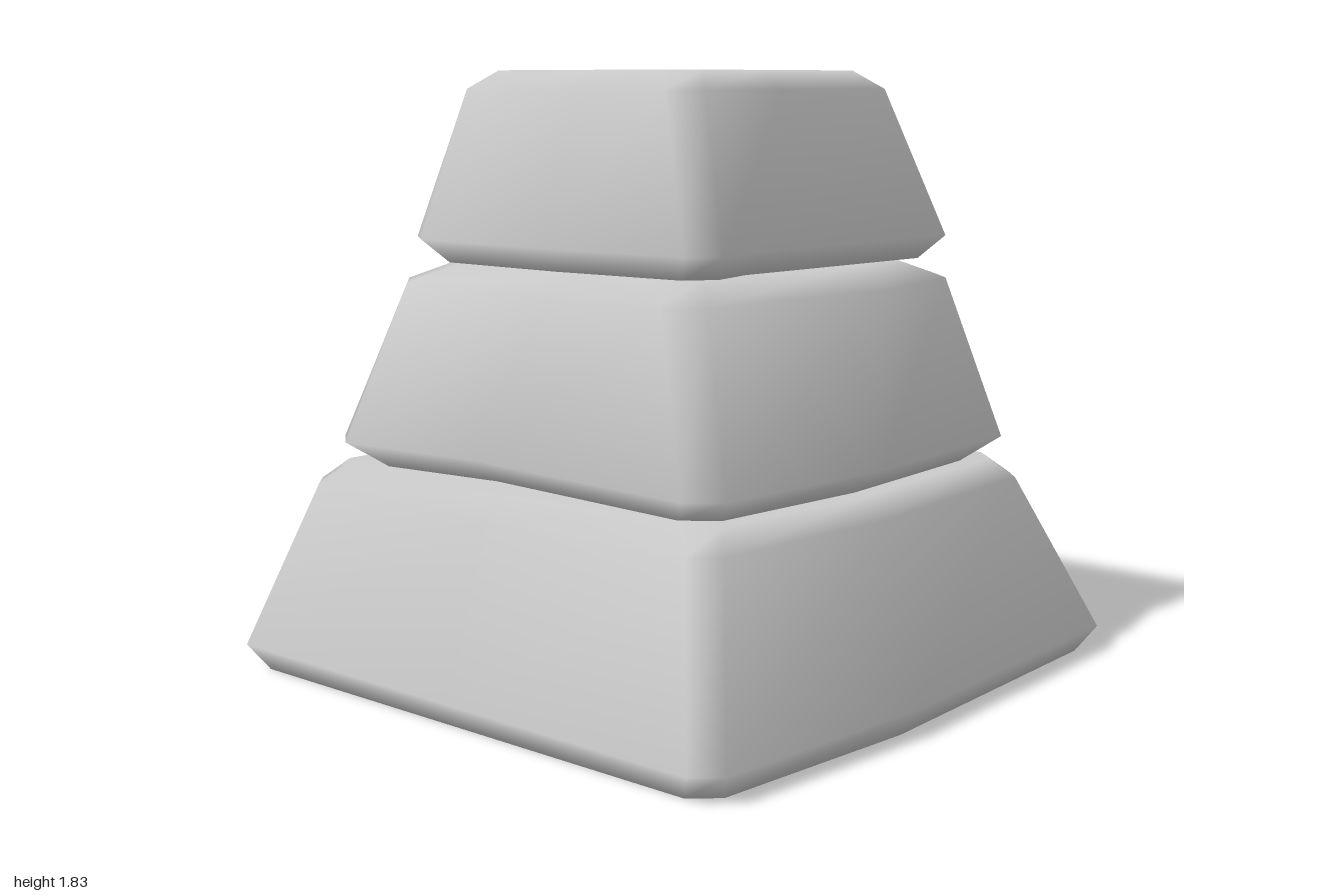
import * as THREE from 'three';

// Each ring lists 8 points [x, z]: back-left, back, back-right, right, front-right, front, front-left, left
const TIERS = [
  {
    name: 'bottomTier', y: [0, 0.08, 0.58, 0.64], foot: 0.05, lip: 0.06, cut: 0.07,
    wide: [[-0.99, -1], [0, -1], [0.95, -1], [0.95, 0.15], [0.995, 0.93], [-0.17, 0.995], [-0.99, 0.94], [-0.99, 0]],
    shoulder: [[-0.82, -0.84], [0, -0.85], [0.8, -0.84], [0.79, 0], [0.74, 0.77], [-0.1, 0.83], [-0.8, 0.77], [-0.84, 0]],
  },
  {
    name: 'middleTier', y: [0.64, 0.715, 1.2, 1.26], foot: 0.09, lip: 0.12, cut: 0.085,
    wide: [[-0.8, -0.76], [-0.09, -0.84], [0.82, -0.79], [0.79, -0.2], [0.7, 0.75], [-0.08, 0.8], [-0.78, 0.75], [-0.73, -0.17]],
    shoulder: [[-0.63, -0.64], [-0.05, -0.72], [0.63, -0.67], [0.69, -0.12], [0.63, 0.57], [0.1, 0.67], [-0.66, 0.57], [-0.67, 0.1]],
  },
  {
    name: 'topTier', y: [1.26, 1.33, 1.775, 1.83], foot: 0.06, lip: 0.07, cut: 0.08,
    wide: [[-0.62, -0.59], [-0.23, -0.7], [0.59, -0.63], [0.63, 0], [0.63, 0.585], [-0.28, 0.53], [-0.57, 0.58], [-0.62, 0]],
    shoulder: [[-0.5, -0.5], [-0.2, -0.55], [0.46, -0.53], [0.47, 0], [0.47, 0.46], [-0.1, 0.45], [-0.52, 0.46], [-0.54, 0.1]],
  },
];

// Pull a ring inwards by d on every side
const inset = (ring, d) => ring.map(([x, z], i) => [
  i === 1 || i === 5 ? x : x - Math.sign(x) * d,
  i === 3 || i === 7 ? z : z - Math.sign(z) * d,
]);

// Cut each corner into two points
function cutCorners(ring, c) {
  const out = [];
  ring.forEach((p, i) => {
    if (i % 2) return out.push(p);
    for (const q of [ring[(i + 7) % 8], ring[i + 1]]) {
      const t = c / Math.hypot(q[0] - p[0], q[1] - p[1]);
      out.push([p[0] + (q[0] - p[0]) * t, p[1] + (q[1] - p[1]) * t]);
    }
  });
  return out;
}

// Loft of four rings with soft bevels and closed ends
function makeTier({ name, y, foot, lip, cut, wide, shoulder }) {
  const rings = [inset(wide, foot), wide, shoulder, inset(shoulder, lip)].map((r) => cutCorners(r, cut));
  const n = rings[0].length, pos = [], index = [];
  rings.forEach((r, k) => r.forEach(([x, z]) => pos.push(x, y[k], z)));
  for (let k = 0; k < 3; k++) {
    for (let i = 0; i < n; i++) {
      const a = k * n + i, b = k * n + (i + 1) % n;
      index.push(a, a + n, b, b, a + n, b + n);
    }
  }
  // End caps fan out from a centre point
  const low = pos.length / 3;
  pos.push(0, y[0], 0, 0, y[3], 0);
  for (let i = 0; i < n; i++) {
    const j = (i + 1) % n;
    index.push(low, i, j, low + 1, 3 * n + j, 3 * n + i);
  }
  const geo = new THREE.BufferGeometry();
  geo.setAttribute('position', new THREE.Float32BufferAttribute(pos, 3));
  geo.setIndex(index);
  geo.computeVertexNormals();
  const mesh = new THREE.Mesh(geo, new THREE.MeshStandardMaterial({ color: 0xcccccc }));
  mesh.name = name;
  return mesh;
}

export function createModel() {
  const group = new THREE.Group();
  group.name = 'steppedStonePyramid';
  TIERS.forEach((t) => group.add(makeTier(t)));
  return group;
}
